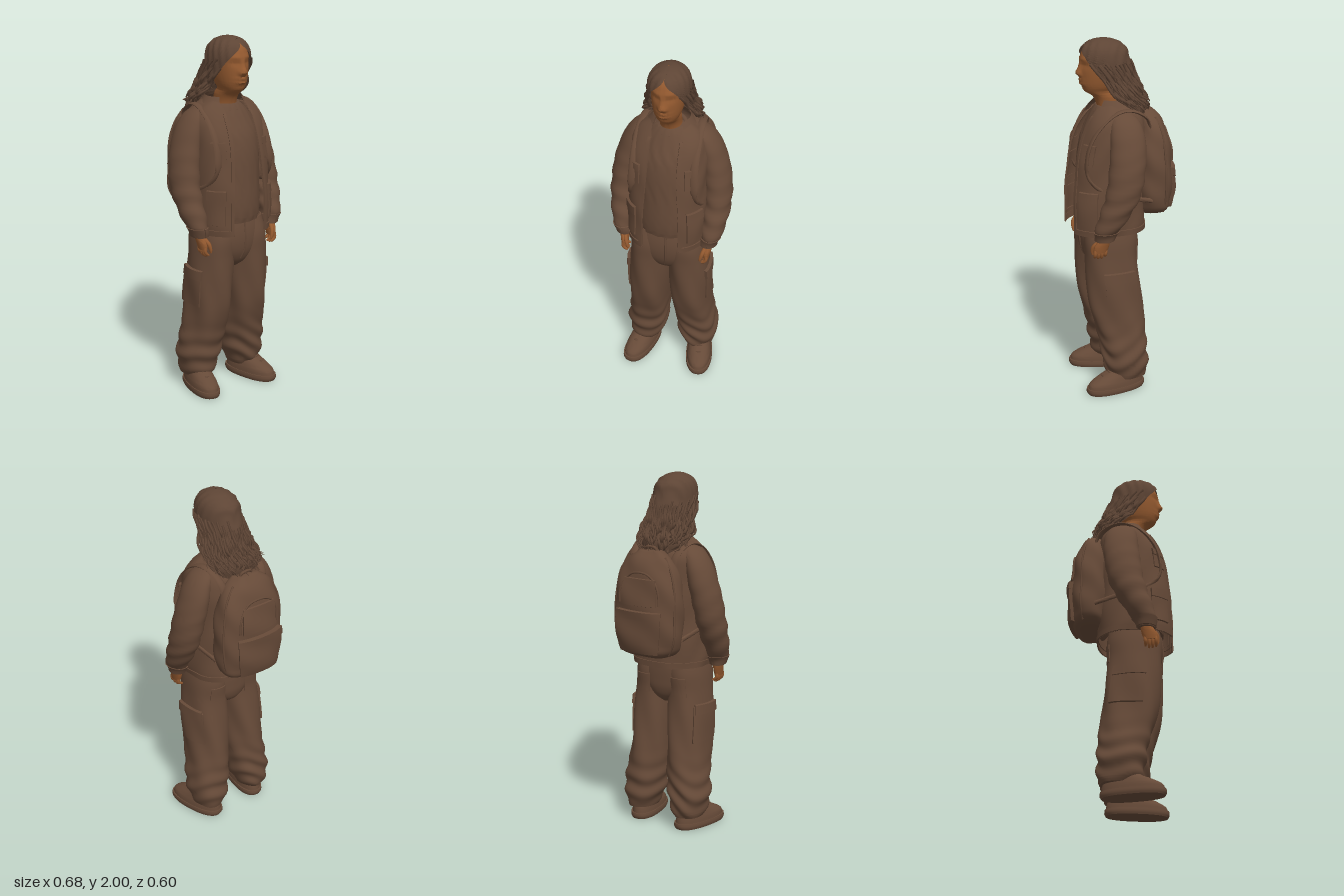
import * as THREE from 'three';
import { mergeGeometries, mergeVertices, toCreasedNormals } from 'three/addons/utils/BufferGeometryUtils.js';

const cloth = new THREE.MeshStandardMaterial({ name: 'brown cloth', color: 0x664a38, side: THREE.DoubleSide });
const hairMat = new THREE.MeshStandardMaterial({ name: 'dark brown hair', color: 0x5e4535, side: THREE.DoubleSide });
const skin = new THREE.MeshStandardMaterial({ name: 'warm skin', color: 0x93592f });

const { sin, cos, abs, sign, PI, max, exp } = Math;
let seed = 7;
const rnd = () => (seed = (seed * 16807) % 2147483647) / 2147483647;
const gauss = (d, s) => exp(-(d * d) / (2 * s * s));

// Grid of points fn(i, j), rows i going up, columns j going round
function grid(fn, rows, cols, crease = 0.9) {
  const pos = [], idx = [];
  for (let i = 0; i <= rows; i++) for (let j = 0; j <= cols; j++) pos.push(...fn(i, j).toArray());
  for (let i = 0; i < rows; i++) for (let j = 0; j < cols; j++) {
    const a = i * (cols + 1) + j, c = a + cols + 1;
    idx.push(a, a + 1, c, a + 1, c + 1, c);
  }
  const g = new THREE.BufferGeometry();
  g.setAttribute('position', new THREE.Float32BufferAttribute(pos, 3));
  g.setIndex(idx);
  return toCreasedNormals(mergeVertices(g, 1e-5), crease);
}

// Body surface through horizontal sections [y, cx, cz, rx, rz, front opening angle]; angle 0 is the front
function surface(keys, { n = 2, bump } = {}) {
  const ys = keys.map(k => k[0]);
  const spline = new THREE.CubicInterpolant(ys, keys.flatMap(k => [k[1], k[2], k[3], k[4], k[5] || 0]), 5);
  const s = (y, a, off = 0, k = 1) => {
    const [cx, cz, rx, rz, open] = spline.evaluate(y);
    const t = open > 0 ? open + a * (1 - open / PI) : a;
    const pw = v => sign(v) * abs(v) ** (2 / n);
    const p = new THREE.Vector3(cx + max(rx, 0.002) * pw(sin(t)) * k, y, cz + max(rz, 0.002) * pw(cos(t)) * k);
    const d = (off + (bump && k ? bump(y, t, p) : 0));
    return p.add(new THREE.Vector3(sin(t) * d, 0, cos(t) * d));
  };
  s.ys = ys;
  return s;
}

// Full skin of a surface, with flat end caps unless open
function loft(s, { sub = 5, cols = 48, caps = true } = {}) {
  const rows = [[s.ys[0], 1]];
  for (let i = 1; i < s.ys.length; i++)
    for (let q = 1; q <= sub; q++) rows.push([s.ys[i - 1] + (s.ys[i] - s.ys[i - 1]) * q / sub, 1]);
  if (caps) { rows.unshift([rows[0][0], 0]); rows.push([rows[rows.length - 1][0], 0]); }
  return grid((i, j) => s(rows[i][0], 2 * PI * j / cols, 0, rows[i][1]), rows.length - 1, cols);
}

// Raised patch on a surface, such as a pocket or a cuff; its border sinks into the surface
function patch(s, y0, y1, a0, a1, off, rows = 10, cols = 14) {
  const f = (i, m) => i === 0 ? 0 : i === m ? 1 : (0.25 + (i - 1) * (m - 0.5) / (m - 2)) / m;
  return grid((i, j) => s(y0 + (y1 - y0) * f(i, rows), a0 + (a1 - a0) * f(j, cols),
    i === 0 || j === 0 || i === rows || j === cols ? -0.004 : off), rows, cols, 0.6);
}

// Round cord along points, narrowing toward the end if wanted
function cord(points, r, taper = 0, seg = 16, sides = 5) {
  const path = new THREE.CatmullRomCurve3(points);
  const g = new THREE.TubeGeometry(path, seg, r, sides);
  const p = g.attributes.position, v = new THREE.Vector3();
  for (let i = 0; i < p.count; i++) {
    const u = Math.floor(i / (sides + 1)) / seg;
    v.fromBufferAttribute(p, i).lerp(path.getPointAt(u), taper * u ** 3);
    p.setXYZ(i, v.x, v.y, v.z);
  }
  return g;
}

export function createModel() {
  const model = new THREE.Group();
  const add = (name, geo, mat = cloth, parent = model) => {
    const m = new THREE.Mesh(geo, mat);
    m.name = name;
    parent.add(m);
    return m;
  };
  const V = (x, y, z) => new THREE.Vector3(x, y, z);
  const flip = (keys, s) => keys.map(([y, cx, ...r]) => [y, cx * s, ...r]);

  // Head and neck, with features pushed out of the face
  const face = (y, t, p) => cos(t) < 0.2 ? 0 :
    0.024 * gauss(p.x, 0.013) * gauss(y - 1.818, 0.014) + 0.01 * gauss(p.x, 0.011) * gauss(y - 1.85, 0.02)
    + 0.007 * gauss(abs(p.x) - 0.018, 0.007) * gauss(y - 1.812, 0.008)
    + 0.011 * gauss(p.x, 0.022) * (gauss(y - 1.779, 0.006) + gauss(y - 1.76, 0.006))
    - 0.01 * gauss(abs(p.x) - 0.035, 0.016) * gauss(y - 1.868, 0.011)
    + 0.005 * gauss(abs(p.x) - 0.035, 0.009) * gauss(y - 1.866, 0.006)
    + 0.005 * gauss(abs(p.x) - 0.035, 0.02) * gauss(y - 1.893, 0.008);
  add('head', loft(surface([[1.58, 0, 0.05, 0.068, 0.075], [1.64, 0, 0.06, 0.058, 0.07], [1.69, 0, 0.08, 0.059, 0.078],
    [1.715, 0, 0.11, 0.058, 0.087], [1.74, 0, 0.11, 0.07, 0.1], [1.78, 0, 0.105, 0.081, 0.113], [1.85, 0, 0.1, 0.089, 0.121],
    [1.91, 0, 0.09, 0.09, 0.125], [1.96, 0, 0.085, 0.07, 0.095], [1.98, 0, 0.085, 0.04, 0.05]], { n: 2.1, bump: face }),
    { sub: 6, cols: 84 }), skin);

  // Hair: combed shell with a centre parting, then loose wavy strands
  const comb = (y, t, p) => y > 1.985 ? 0 : 0.003 * sin(p.z * 130 - abs(p.x) * 70 + y * 20) - 0.006 * gauss(p.x, 0.006) * (cos(t) > 0);
  const hairSurface = surface([[1.57, 0, -0.07, 0.1, 0.055, 1.5], [1.63, 0, -0.04, 0.132, 0.1, 1.4], [1.7, 0, 0.015, 0.135, 0.13, 1.22],
    [1.78, 0, 0.05, 0.12, 0.14, 1.08], [1.85, 0, 0.078, 0.115, 0.142, 0.9], [1.9, 0, 0.088, 0.112, 0.14, 0.6],
    [1.94, 0, 0.09, 0.102, 0.126, 0.22], [1.965, 0, 0.092, 0.085, 0.107, 0.02], [1.985, 0, 0.095, 0.058, 0.072],
    [1.995, 0, 0.097, 0.032, 0.042], [2, 0, 0.1, 0.004, 0.004]], { bump: comb });
  add('hairShell', loft(hairSurface, { cols: 110, sub: 4, caps: false }), hairMat);
  const strands = [];
  for (let k = 0; k < 84; k++) {
    const a = 0.04 + (2 * PI - 0.08) * (k + rnd() * 0.6) / 84, top = 1.74 + 0.15 * rnd(), end = 1.57 + 0.09 * rnd();
    const ph = rnd() * 6, amp = 0.014 + 0.014 * rnd(), pts = [];
    for (let q = 0; q <= 9; q++) {
      const u = q / 9, y = top + (end - top) * u;
      const p = hairSurface(y, a, 0.002 + 0.012 * u * rnd() + amp * u * sin(ph + 11 * u));
      p.x += 0.015 * u * cos(ph + 12 * u);
      pts.push(p);
    }
    strands.push(cord(pts, 0.006 + 0.004 * rnd(), 0.85, 18));
  }
  add('hairStrands', mergeGeometries(strands), hairMat);

  // Sweater
  add('sweater', loft(surface([[0.99, 0, 0.09, 0.18, 0.15], [1.03, 0, 0.09, 0.182, 0.157], [1.2, 0, 0.085, 0.18, 0.16], [1.45, 0, 0.07, 0.18, 0.15],
    [1.56, 0, 0.05, 0.15, 0.125], [1.62, 0, 0.05, 0.1, 0.095], [1.635, 0, 0.05, 0.08, 0.085]],
    { bump: (y, t) => 0.003 * sin(t * 17 + 9 * sin(y * 9)) })));
  const neckband = add('sweaterCollar', new THREE.TorusGeometry(0.08, 0.015, 10, 40));
  neckband.position.set(0, 1.618, 0.062);
  neckband.rotation.x = PI / 2 + 0.25;

  // Open jacket
  const jacket = surface([[0.94, 0, 0.088, 0.212, 0.214, 0.4], [1, 0, 0.088, 0.218, 0.214, 0.39], [1.2, 0, 0.083, 0.215, 0.212, 0.37],
    [1.4, 0, 0.067, 0.213, 0.198, 0.31], [1.5, 0, 0.055, 0.212, 0.182, 0.3], [1.57, 0, 0.043, 0.197, 0.158, 0.33],
    [1.62, 0, 0.04, 0.16, 0.125, 0.42], [1.66, 0, 0.045, 0.1, 0.09, 0.8]],
    { n: 2.5, bump: (y, t) => 0.004 * sin(y * 26 + 5 * sin(t * 2)) * abs(sin(t)) });
  add('jacketBody', loft(jacket, { cols: 72, caps: false }));
  add('jacketHem', patch(jacket, 0.941, 0.975, 0, 2 * PI, 0.005, 5, 60));
  add('jacketCollar', loft(surface([[1.575, 0, 0.06, 0.172, 0.135, 0.66], [1.61, 0, 0.052, 0.156, 0.13, 0.68], [1.645, 0, 0.045, 0.125, 0.112, 0.74],
    [1.675, 0, 0.045, 0.1, 0.095, 0.82]]), { caps: false }));

  // Hips, rounded in between the legs
  add('trouserHips', loft(surface([[0.72, 0, 0.07, 0.04, 0.08], [0.75, 0, 0.072, 0.09, 0.118], [0.8, 0, 0.077, 0.16, 0.143], [0.86, 0, 0.082, 0.2, 0.152],
    [0.93, 0, 0.083, 0.205, 0.152], [1.02, 0, 0.082, 0.19, 0.138]], { n: 2.3 })));
  add('trouserFly', cord([V(0.014, 0.99, 0.226), V(0.015, 0.9, 0.236), V(0.012, 0.83, 0.228), V(0, 0.78, 0.208)], 0.007));

  for (const s of [1, -1]) {
    const side = new THREE.Group();
    side.name = s > 0 ? 'leftSide' : 'rightSide';
    model.add(side);
    const put = (name, geo, mat) => add(name, geo, mat, side);
    const around = (c, w) => s > 0 ? [c - w, c + w] : [2 * PI - c - w, 2 * PI - c + w];

    // Sleeve and cuff
    const sleeve = surface(flip([[0.935, 0.24, 0.158, 0.04, 0.048], [0.97, 0.243, 0.153, 0.048, 0.056], [1, 0.25, 0.143, 0.058, 0.068],
      [1.1, 0.259, 0.095, 0.073, 0.086], [1.2, 0.262, 0.055, 0.077, 0.096], [1.35, 0.245, 0.028, 0.079, 0.1], [1.45, 0.222, 0.018, 0.073, 0.098],
      [1.53, 0.198, 0.018, 0.062, 0.09], [1.59, 0.165, 0.022, 0.047, 0.07], [1.62, 0.14, 0.025, 0.025, 0.04]], s),
      { bump: (y, t) => 0.0045 * sin(y * 62 + 2.5 * sin(t + s)) * gauss(y - 1.14, 0.16) });
    put('sleeve', loft(sleeve, { cols: 36 }));
    put('cuff', patch(sleeve, 0.938, 0.99, 0, 2 * PI, 0.006, 6, 36));

    // Hand with hanging fingers
    put('palm', loft(surface(flip([[0.868, 0.234, 0.18, 0.017, 0.036], [0.9, 0.236, 0.173, 0.022, 0.041], [0.935, 0.24, 0.16, 0.024, 0.035],
      [0.97, 0.24, 0.152, 0.024, 0.03]], s)), { cols: 24 }), skin);
    for (let f = 0; f < 4; f++) {
      const z = 0.15 + f * 0.019, dip = [0.01, 0, 0, 0.006][f];
      put('finger', cord([V(0.236 * s, 0.885, z), V(0.238 * s, 0.86, z + 0.002), V(0.228 * s, 0.838 + dip, z + 0.002),
        V(0.212 * s, 0.829 + dip, z)], 0.0105, 0.5, 10, 8), skin);
    }
    put('thumb', cord([V(0.23 * s, 0.925, 0.185), V(0.218 * s, 0.9, 0.212), V(0.208 * s, 0.865, 0.218), V(0.205 * s, 0.85, 0.215)],
      0.0125, 0.6, 10, 8), skin);

    // Baggy trouser leg, folds gathering at the ankle
    const leg = surface(flip([[0.075, 0.16, 0.0, 0.075, 0.098], [0.11, 0.157, 0.005, 0.09, 0.118], [0.19, 0.152, 0.012, 0.112, 0.127],
      [0.27, 0.144, 0.02, 0.114, 0.132], [0.36, 0.132, 0.034, 0.112, 0.14], [0.5, 0.122, 0.06, 0.11, 0.152], [0.66, 0.116, 0.075, 0.114, 0.15],
      [0.8, 0.11, 0.084, 0.11, 0.146], [0.9, 0.105, 0.083, 0.108, 0.15], [1, 0.1, 0.08, 0.095, 0.13]], s), { n: 2.2,
      bump: (y, t) => 0.008 * sin(y * 58 + 3 * sin(t * s + 0.6) + 2 * sin(2 * t)) * gauss(y - 0.2, 0.1)
        + 0.005 * sin(t * 5 + y * 12) * gauss(y - 0.5, 0.2) });
    put('trouserLeg', loft(leg, { cols: 48, sub: 6 }));
    put('cargoPocket', patch(leg, 0.51, 0.72, ...around(1.72, 0.6), 0.01));
    put('cargoFlap', patch(leg, 0.67, 0.73, ...around(1.68, 0.58), 0.017, 5));
    put('seatPocket', patch(leg, 0.77, 0.88, ...around(PI - 0.1, 0.4), 0.004));

    // Shoe, toes turned out
    const shoe = new THREE.Group();
    shoe.name = 'shoe';
    shoe.position.set(0.176 * s, 0, 0.077);
    shoe.rotation.y = 0.2 * s;
    side.add(shoe);
    add('shoeSole', loft(surface([[0, 0, 0, 0.073, 0.17], [0.015, 0, 0, 0.078, 0.178], [0.035, 0, 0, 0.076, 0.176]], { n: 2.4 }), { sub: 2 }), cloth, shoe);
    add('shoeUpper', loft(surface([[0.03, 0, 0, 0.073, 0.171], [0.06, 0, -0.004, 0.07, 0.163], [0.085, 0, -0.022, 0.064, 0.138],
      [0.11, 0, -0.046, 0.058, 0.106], [0.15, 0, -0.07, 0.052, 0.075], [0.18, 0, -0.075, 0.05, 0.065]], { n: 2.2 })), cloth, shoe);
    for (let q = 0; q < 3; q++) {
      const y = 0.098 + q * 0.021, z = 0.082 - q * 0.036;
      add('lace', cord([V(-0.03, y - 0.01, z - 0.01), V(0, y, z), V(0.03, y - 0.01, z - 0.01)], 0.006), cloth, shoe);
    }

    // Jacket pockets with flaps, and the front facing
    put('chestPocket', patch(jacket, 1.34, 1.45, ...around(0.48, 0.24), 0.007));
    put('chestFlap', patch(jacket, 1.415, 1.455, ...around(0.48, 0.25), 0.012, 5));
    put('hipPocket', patch(jacket, 1.0, 1.18, ...around(0.6, 0.32), 0.008));
    put('hipFlap', patch(jacket, 1.14, 1.195, ...around(0.6, 0.33), 0.013, 5));
    put('jacketFacing', patch(jacket, 0.945, 1.6, ...around(0.06, 0.06), 0.005, 30, 4));

    // Backpack shoulder strap: flat band over the shoulder and under the arm
    const path = new THREE.CatmullRomCurve3([V(0.13, 1.5, -0.135), V(0.14, 1.57, -0.115), V(0.152, 1.622, -0.04), V(0.158, 1.628, 0.03),
      V(0.163, 1.59, 0.11), V(0.166, 1.5, 0.19), V(0.168, 1.4, 0.229), V(0.178, 1.29, 0.232), V(0.197, 1.22, 0.18), V(0.212, 1.17, 0.05),
      V(0.19, 1.12, -0.13)]);
    put('shoulderStrap', grid((i, j) => {
      const u = i / 50, a = 2 * PI * j / 12, p = path.getPointAt(u), t = path.getTangentAt(u);
      const wide = V(1, 0, 0).lerp(V(0, 1, 0), THREE.MathUtils.smoothstep(u, 0.55, 0.8)).cross(t).cross(t).normalize();
      const w = u < 0.6 ? 0.022 : 0.013;
      const thick = wide.clone().cross(t);
      p.x *= s;
      wide.x *= s; thick.x *= s;
      return p.addScaledVector(wide, w * cos(a * s)).addScaledVector(thick, 0.008 * sin(a * s));
    }, 50, 12));
  }

  // Backpack, narrowing to the back, with lower pocket, upper pocket, zips and handle
  const pack = surface([[1.02, 0, -0.16, 0.12, 0.06], [1.035, 0, -0.165, 0.155, 0.085], [1.1, 0, -0.165, 0.19, 0.108], [1.25, 0, -0.162, 0.204, 0.114],
    [1.4, 0, -0.16, 0.196, 0.106], [1.5, 0, -0.155, 0.165, 0.088], [1.56, 0, -0.15, 0.125, 0.066], [1.6, 0, -0.14, 0.07, 0.04]],
    { n: 2.5, bump: (y, t) => 0.004 * sin(y * 30 + t * 4) });
  add('backpack', loft(pack, { cols: 60 }));
  add('backpackPocket', patch(pack, 1.045, 1.275, PI - 0.66, PI + 0.66, 0.02));
  add('backpackPocketLid', patch(pack, 1.235, 1.285, PI - 0.67, PI + 0.67, 0.025, 5));
  add('backpackUpperPocket', patch(pack, 1.31, 1.46, PI - 0.5, PI + 0.5, 0.009));
  const arch = [];
  for (let q = 0; q <= 16; q++) {
    const a = PI * q / 16;
    arch.push(pack(1.32 + 0.17 * sin(a) ** 0.7, PI - 0.6 * cos(a), 0.003));
  }
  add('upperZip', cord(arch, 0.006, 0, 40));
  for (const a of [PI / 2 + 0.3, 1.5 * PI - 0.3])
    add('backpackSeam', cord([1.04, 1.12, 1.25, 1.4, 1.5, 1.57].map(y => pack(y, a, 0.001)), 0.006, 0, 30));
  add('carryHandle', cord([V(-0.04, 1.575, -0.14), V(-0.03, 1.612, -0.15), V(0.03, 1.612, -0.15), V(0.04, 1.575, -0.14)], 0.009));

  return model;
}
